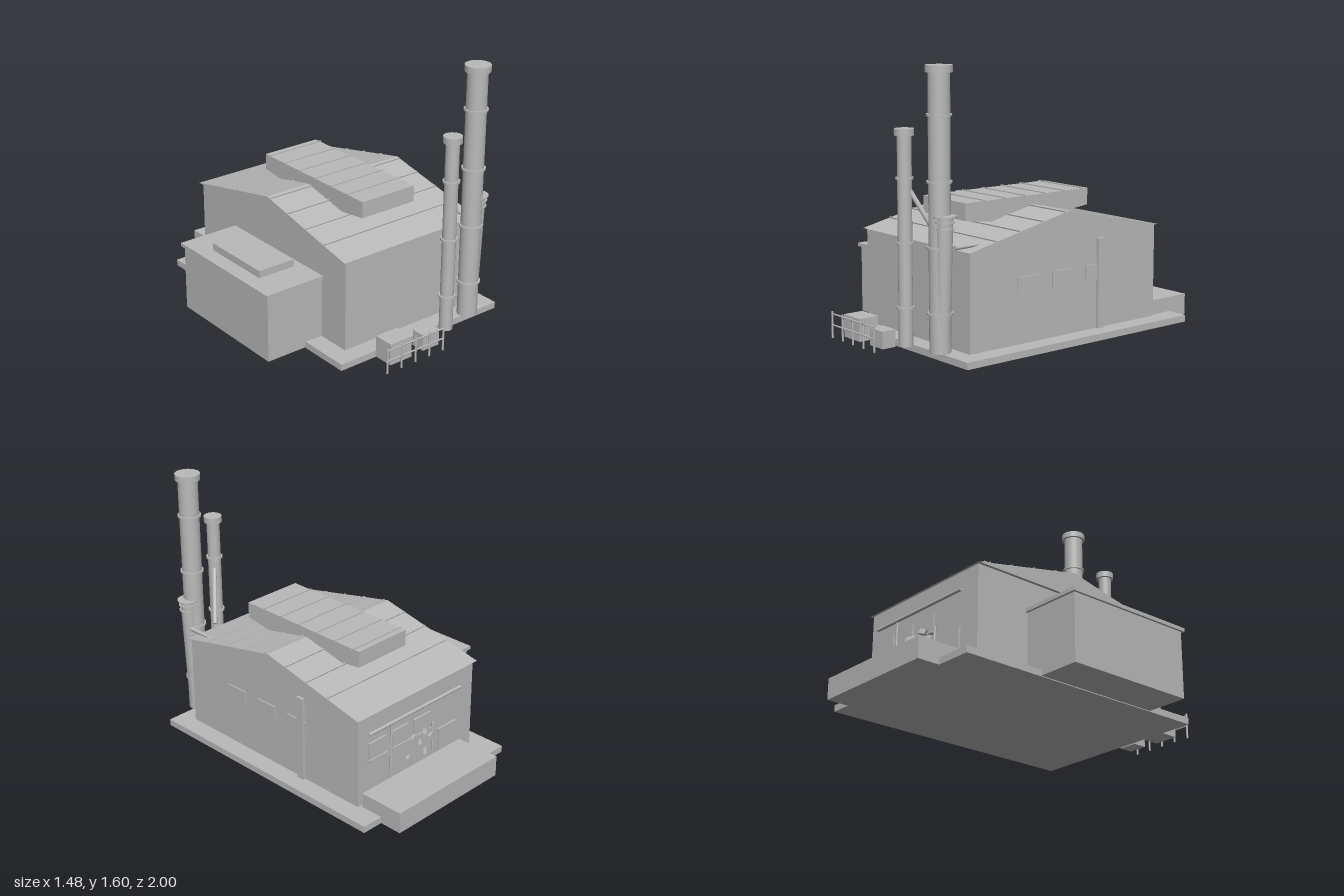
import * as THREE from 'three';

export function createModel() {
  const model = new THREE.Group();
  model.name = 'factory';
  const grey = new THREE.MeshStandardMaterial({ color: 0xbababa });
  grey.name = 'plain grey';

  const add = (name, geometry, parent = model) => {
    const mesh = new THREE.Mesh(geometry, grey);
    mesh.name = name;
    parent.add(mesh);
    return mesh;
  };
  const group = (name) => {
    const g = new THREE.Group();
    g.name = name;
    model.add(g);
    return g;
  };
  // box from its limits on each axis
  const box = (name, x0, x1, y0, y1, z0, z1, parent) => {
    const m = add(name, new THREE.BoxGeometry(x1 - x0, y1 - y0, z1 - z0), parent);
    m.position.set((x0 + x1) / 2, (y0 + y1) / 2, (z0 + z1) / 2);
    return m;
  };
  // round bar between two points
  const rod = (name, a, b, rTop, rBottom, parent, sides = 12) => {
    const p = new THREE.Vector3(...a), q = new THREE.Vector3(...b);
    const m = add(name, new THREE.CylinderGeometry(rTop, rBottom, p.distanceTo(q), sides), parent);
    m.position.copy(p).add(q).multiplyScalar(0.5);
    m.quaternion.setFromUnitVectors(new THREE.Vector3(0, 1, 0), q.sub(p).normalize());
    return m;
  };
  // outline in (z, y), extruded along x
  const prism = (name, outline, x0, x1) => {
    const shape = new THREE.Shape(outline.map(([z, y]) => new THREE.Vector2(z, y)));
    const g = new THREE.ExtrudeGeometry(shape, { depth: x1 - x0, bevelEnabled: false });
    g.rotateY(-Math.PI / 2);
    g.translate(x1, 0, 0);
    return add(name, g);
  };

  // ground slab, main hall and gabled roof
  box('baseSlab', -0.46, 0.735, 0, 0.04, -0.86, 0.81);
  box('hallWalls', -0.345, 0.62, 0.04, 0.6, -0.7, 0.7);
  const eave = 0.6, ridge = 0.755, half = 0.715;
  prism('hallRoof', [[-half, eave], [half, eave], [0, ridge]], -0.365, 0.637);

  // roof seams
  const seams = group('roofSeams');
  const slope = Math.atan2(ridge - eave, half);
  for (const z of [-0.475, -0.308, -0.142, 0.025, 0.192, 0.36, 0.527]) {
    const y = ridge - Math.abs(z) * (ridge - eave) / half;
    const seam = box('roofSeam', -0.36, 0.632, y - 0.006, y + 0.007, z - 0.005, z + 0.005, seams);
    seam.rotation.x = Math.sign(z) * slope;
  }

  // raised ridge vent
  prism('ridgeVent', [[-0.425, 0.71], [-0.25, 0.69], [0.3, 0.685], [0.5, 0.71], [0.5, 0.81], [-0.425, 0.81]], -0.06, 0.33);
  for (let i = 0; i < 6; i++) {
    const z = -0.382 + i * 0.149;
    box('ventSeam', -0.064, 0.334, 0.8, 0.816, z - 0.004, z + 0.004);
  }

  // side annex with roof hatch
  box('annexWalls', -0.725, -0.345, 0.005, 0.41, -0.345, 0.485);
  box('annexRoof', -0.74, -0.345, 0.41, 0.432, -0.36, 0.5);
  box('annexHatch', -0.645, -0.4, 0.432, 0.477, -0.16, 0.3);

  // rear loading dock
  box('loadingDock', -0.23, 0.6, 0, 0.128, -1, -0.715);

  // chimneys with caps and bands
  const chimney = (name, x, z, radius, top, bands) => {
    const g = group(name);
    rod('shaft', [x, 0.05, z], [x, top - 0.01, z], radius, radius, g, 32);
    rod('cap', [x, top - 0.038, z], [x, top, z], radius + 0.015, radius + 0.015, g, 32);
    for (const y of bands) rod('band', [x, y - 0.006, z], [x, y + 0.006, z], radius + 0.01, radius + 0.01, g, 32);
  };
  chimney('tallChimney', 0.5, 0.81, 0.06, 1.6, [0.265, 0.625, 0.98, 1.337]);
  chimney('shortChimney', 0.27, 0.872, 0.04, 1.25, [0.265, 0.625, 0.98]);

  // leaning flue beside the tall chimney
  const flue = group('leaningFlue');
  rod('fluePipe', [0.512, 0.05, 0.81], [0.545, 0.8, 0.81], 0.046, 0.046, flue, 24);
  for (const [y, r] of [[0.735, 0.052], [0.77, 0.055], [0.799, 0.062]]) {
    rod('flueRing', [0.546, y - 0.004, 0.81], [0.546, y + 0.004, 0.81], r, r, flue, 24);
  }

  // pipes from chimneys to the hall
  rod('chimneyBrace', [0.275, 0.95, 0.868], [0.41, 0.62, 0.725], 0.014, 0.014);
  rod('roofDuct', [0.565, 0.625, 0.76], [0.565, 0.625, 0.57], 0.008, 0.014);

  // side wall windows and downpipe
  for (const z of [0.292, 0.037, -0.217]) box('sideWindow', 0.615, 0.628, 0.325, 0.42, z - 0.076, z + 0.076);
  box('sideDownpipe', 0.615, 0.638, 0.04, 0.57, -0.28, -0.23);

  // rear wall: windows, door, pipes and utility boxes
  for (const x of [0.47, 0.29, 0.1]) {
    box('rearWindow', x - 0.07, x + 0.07, 0.315, 0.42, -0.712, -0.695);
    box('windowSill', x - 0.075, x + 0.075, 0.305, 0.317, -0.72, -0.695);
  }
  box('rearDoor', -0.2, -0.045, 0.04, 0.27, -0.712, -0.695);
  rod('rearPipe', [0.55, 0.485, -0.715], [-0.22, 0.485, -0.715], 0.01, 0.01);
  for (const [x, top] of [[0.365, 0.485], [0.01, 0.34]]) {
    rod('rearDownpipe', [x, 0.04, -0.712], [x, top, -0.712], 0.007, 0.007);
  }
  [[0.2, 0.31, 0.03], [0.09, 0.325, 0.022], [0.05, 0.27, 0.024], [0.13, 0.27, 0.02], [0.24, 0.2, 0.02], [0.08, 0.19, 0.028]]
    .forEach(([x, y, s], i) => {
      const b = box('utilityBox', x - s, x + s, y - s * 0.7, y + s * 0.7, -0.742, -0.722);
      b.rotation.set(0.2, 0.35, i % 2 ? 0.3 : -0.15);
    });

  // yard units and railing
  box('largeYardUnit', -0.222, -0.065, 0.015, 0.147, 0.825, 0.952);
  box('smallYardUnit', 0.028, 0.15, 0.015, 0.115, 0.857, 0.945);
  const railing = group('railing');
  for (let i = 0; i < 5; i++) {
    const x = -0.28 + i * 0.1045;
    rod('post', [x, 0.003, 0.993], [x, 0.158, 0.993], 0.006, 0.006, railing, 8);
  }
  for (const y of [0.08, 0.145]) rod('rail', [-0.287, y, 0.993], [0.145, y, 0.993], 0.005, 0.005, railing, 8);

  return model;
}
